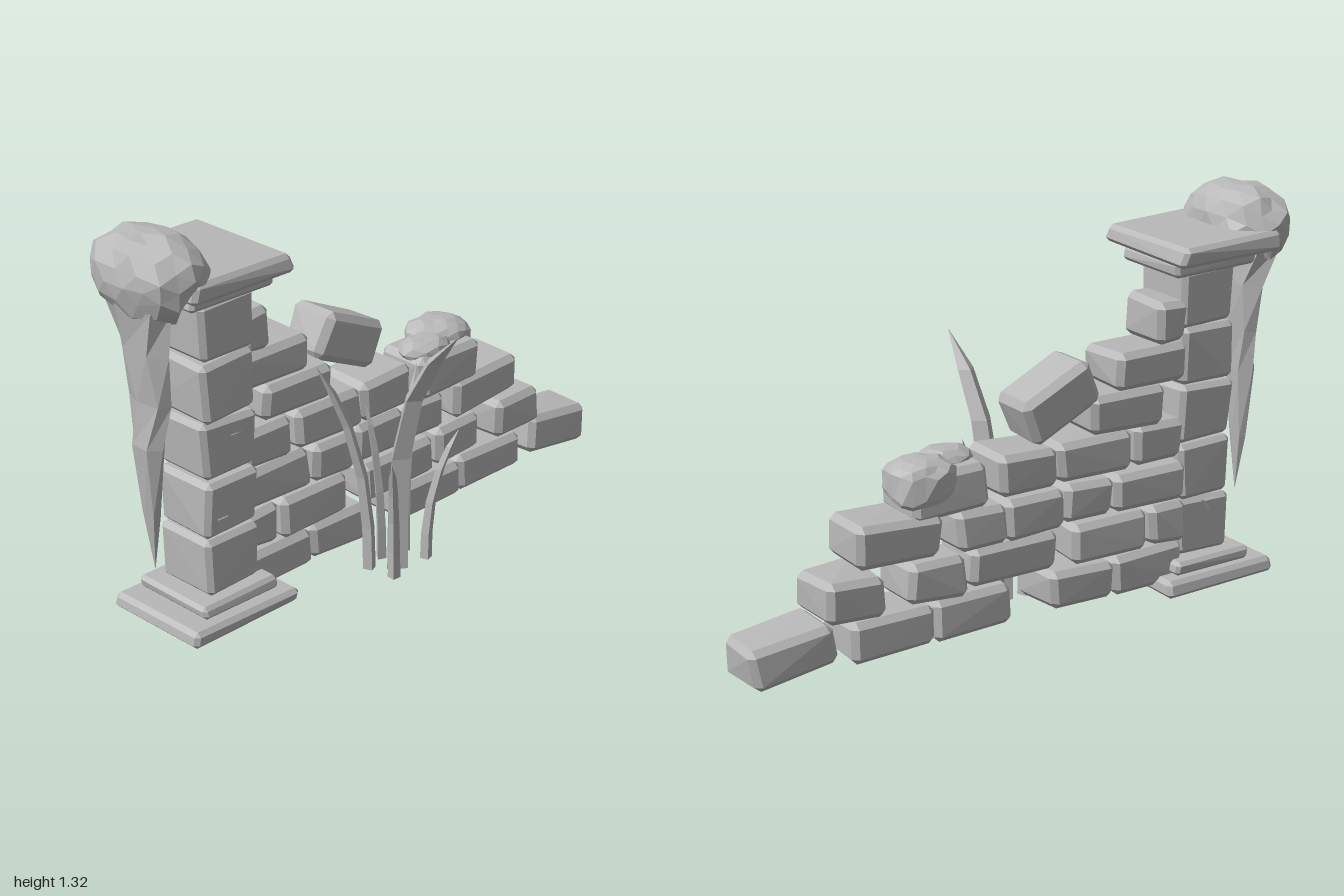
import * as THREE from 'three';
import { ConvexGeometry } from 'three/addons/geometries/ConvexGeometry.js';

const stone = new THREE.MeshStandardMaterial({ color: 0xb8b8b8 });
stone.name = 'grey stone';
stone.flatShading = true;

// Seeded random in -1..1
let seed = 7;
const rnd = () => {
  seed = (seed * 16807) % 2147483647;
  return (seed / 2147483647) * 2 - 1;
};

function add(parent, geometry, name) {
  const mesh = new THREE.Mesh(geometry, stone);
  mesh.name = name;
  parent.add(mesh);
  return mesh;
}

// Worn block with chamfered edges, given by its limits on each axis
function block(parent, name, [x0, x1], [y0, y1], [z0, z1], chamfer = 0.02, wear = 0.006, tilt = 0) {
  const h = [(x1 - x0) / 2, (y1 - y0) / 2, (z1 - z0) / 2];
  const pts = [];
  for (const sx of [-1, 1]) for (const sy of [-1, 1]) for (const sz of [-1, 1]) {
    const s = [sx, sy, sz];
    const j = [rnd() * wear, rnd() * wear, rnd() * wear];
    for (let axis = 0; axis < 3; axis++) {
      pts.push(new THREE.Vector3(...h.map((v, i) => s[i] * (i === axis ? v : v - chamfer) + j[i])));
    }
  }
  const mesh = add(parent, new ConvexGeometry(pts), name);
  mesh.position.set((x0 + x1) / 2, (y0 + y1) / 2, (z0 + z1) / 2);
  mesh.rotation.z = tilt;
  return mesh;
}

// Skin over rings that run counter-clockwise around the direction of travel
function loft(rings) {
  const out = [];
  const n = rings[0].length;
  const last = rings[rings.length - 1];
  const tri = (...ps) => ps.forEach((p) => out.push(...p));
  for (let i = 0; i < rings.length - 1; i++) {
    for (let k = 0; k < n; k++) {
      const m = (k + 1) % n;
      const a = rings[i][k], b = rings[i][m], c = rings[i + 1][m], d = rings[i + 1][k];
      tri(a, b, c);
      if (i < rings.length - 2) tri(a, c, d);
    }
  }
  for (let k = 1; k < n - 1; k++) {
    tri(rings[0][0], rings[0][k + 1], rings[0][k]);
    tri(last[0], last[k], last[k + 1]);
  }
  const g = new THREE.BufferGeometry();
  g.setAttribute('position', new THREE.Float32BufferAttribute(out, 3));
  g.computeVertexNormals();
  return g;
}

// Lumpy faceted ball; shape(v) may bend each placed vertex further
function lump(parent, name, centre, radius, detail, shape) {
  const g = new THREE.IcosahedronGeometry(1, detail);
  const p = g.attributes.position;
  const v = new THREE.Vector3();
  for (let i = 0; i < p.count; i++) {
    v.fromBufferAttribute(p, i);
    const bump = 1 + 0.06 * Math.sin(v.x * 5 + v.y * 7 + 1) * Math.cos(v.z * 6 - v.y * 3);
    const box = 1 / Math.pow(Math.abs(v.x) ** 3 + Math.abs(v.y) ** 3 + Math.abs(v.z) ** 3, 1 / 3);
    v.multiplyScalar(bump * (0.6 + 0.4 * box));
    v.set(centre[0] + v.x * radius[0], centre[1] + v.y * radius[1], centre[2] + v.z * radius[2]);
    if (shape) shape(v);
    p.setXYZ(i, v.x, v.y, v.z);
  }
  g.computeVertexNormals();
  return add(parent, g, name);
}

// Upright blade with a diamond section, curling outward to its tip
function blade(parent, base, tip, width, depth, curl) {
  const dx = tip[0] - base[0], dz = tip[2] - base[2];
  const len = Math.hypot(dx, dz);
  const ox = dx / len, oz = dz / len;
  const steps = [[0, 1], [0.2, 0.95], [0.45, 0.85], [0.7, 0.75], [0.87, 0.6], [1, 0]];
  const rings = steps.map(([f, s]) => {
    const r = len * Math.pow(f, curl);
    const c = [base[0] + ox * r, base[1] + (tip[1] - base[1]) * f, base[2] + oz * r];
    return [[depth, 0], [0, width], [-depth, 0], [0, -width]].map(([o, w]) =>
      [c[0] + (ox * o + oz * w) * s, c[1], c[2] + (oz * o - ox * w) * s]);
  });
  add(parent, loft(rings), 'grassBlade');
}

export function createModel() {
  const model = new THREE.Group();
  model.name = 'ruinedWall';
  const group = (name) => {
    const g = new THREE.Group();
    g.name = name;
    model.add(g);
    return g;
  };

  // Pillar: stepped base, five blocks, stepped cap
  const pillar = group('pillar');
  block(pillar, 'baseSlab', [-0.9, -0.48], [0.035, 0.09], [-0.3, 0.08], 0.014);
  block(pillar, 'baseStep', [-0.83, -0.53], [0.09, 0.137], [-0.27, 0.04], 0.012, 0.004);
  for (let i = 0; i < 5; i++) {
    const y = 0.137 + i * 0.191;
    block(pillar, 'pillarBlock', [-0.778, -0.57], [y, y + 0.189], [-0.22, 0.005], 0.016);
  }
  block(pillar, 'capStep', [-0.83, -0.51], [1.085, 1.135], [-0.26, 0.03], 0.012, 0.004);
  block(pillar, 'capSlab', [-0.87, -0.485], [1.135, 1.2], [-0.325, 0.09], 0.014);

  // Chips on the pillar faces
  for (const [x, y, z, turn] of [[-0.66, 0.64, 0.004, 0], [-0.72, 0.38, 0.004, 0], [-0.69, 0.3, -0.221, Math.PI]]) {
    const chip = add(pillar, new THREE.CylinderGeometry(0.02, 0.034, 0.008, 3), 'chip');
    chip.position.set(x, y, z);
    chip.rotation.set(Math.PI / 2, turn, 0);
    if (turn) chip.rotation.x = -Math.PI / 2;
  }

  // Brick courses: height limits, then the x limits of each brick
  const wall = group('wall');
  const courses = [
    [0.06, 0.188, [[-0.59, -0.315], [-0.305, -0.07], [0.075, 0.36], [0.36, 0.66]]],
    [0.197, 0.328, [[-0.59, -0.45], [-0.445, -0.165], [-0.1, 0.225], [0.25, 0.455], [0.54, 0.745]]],
    [0.335, 0.465, [[-0.59, -0.315], [-0.31, -0.13], [-0.12, 0.1], [0.1, 0.28]]],
    [0.475, 0.607, [[-0.59, -0.395], [-0.38, -0.1], [-0.09, 0.12]]],
    [0.61, 0.735, [[-0.5, -0.22]]],
    [0.735, 0.86, [[-0.59, -0.32]]],
    [0.865, 1.0, [[-0.59, -0.478]]],
  ];
  for (const [y0, y1, spans] of courses) {
    for (const span of spans) {
      const s = rnd() * 0.01;
      block(wall, 'brick', span, [y0, y1], [-0.225 + s, -0.025 + s]);
    }
  }
  block(wall, 'brick', [0.165, 0.44], [0.462, 0.605], [-0.22, -0.02], 0.02, 0.006, 0.01);
  block(wall, 'brick', [0.335, 0.63], [0.345, 0.478], [-0.23, -0.03], 0.02, 0.006, 0.05);
  block(wall, 'fallenBrick', [0.708, 0.992], [0.06, 0.193], [-0.22, -0.03], 0.02, 0.005, -0.14);
  block(wall, 'looseBrick', [-0.238, 0.034], [0.67, 0.825], [-0.23, -0.06], 0.022, 0.006, -0.44);

  // Moss draped over the cap, with a long hanging strand
  const moss = group('moss');
  lump(moss, 'mossCap', [-0.866, 1.19, -0.11], [0.132, 0.133, 0.2], 2, (v) => {
    if (v.x > -0.868) v.y = Math.max(v.y, 1.185);
  });
  const strand = [
    // y, x centre, x radius, z centre, z radius
    [0.26, -0.915, 0, -0.08, 0],
    [0.45, -0.92, 0.021, -0.08, 0.035],
    [0.68, -0.925, 0.04, -0.075, 0.065],
    [0.82, -0.915, 0.036, -0.07, 0.085],
    [0.98, -0.918, 0.046, -0.08, 0.105],
    [1.12, -0.925, 0.055, -0.1, 0.14],
  ].map(([y, x, rx, z, rz], i) => Array.from({ length: 6 }, (_, k) => {
    const a = (k / 6) * Math.PI * 2 + (i % 2) * 0.3;
    return [x + Math.sin(a) * rx, y, z + Math.cos(a) * rz];
  }));
  // the pointed tip comes last, so the strand is skinned downward
  add(moss, loft(strand.reverse().map((r) => r.reverse())), 'mossStrand');

  // Moss clump on the broken end, sagging over the back
  lump(moss, 'mossClump', [0.38, 0.595, -0.165], [0.108, 0.058, 0.1], 2, (v) => {
    const sag = Math.max(0, v.x - 0.4) * 0.45 + Math.max(0, -0.16 - v.z) * 0.4;
    if (v.y < 0.6) v.y -= sag;
  });
  lump(moss, 'mossClumpSmall', [0.25, 0.605, -0.1], [0.09, 0.04, 0.07], 1);

  // Grass tuft: base, tip, half width, half depth, curl
  const grass = group('grass');
  blade(grass, [-0.05, 0.0, 0.078], [-0.04, 0.865, 0.325], 0.05, 0.045, 3.6);
  blade(grass, [-0.15, 0.015, 0.05], [-0.31, 0.745, -0.015], 0.024, 0.022, 2.5);
  blade(grass, [0.005, 0.02, 0.05], [0.13, 0.615, -0.015], 0.022, 0.02, 2.5);
  blade(grass, [-0.145, 0.02, 0.155], [-0.235, 0.47, 0.235], 0.02, 0.02, 2.5);
  blade(grass, [0.005, 0.03, 0.15], [0.1, 0.47, 0.2], 0.02, 0.02, 2.5);
  blade(grass, [-0.08, 0.02, 0.035], [-0.095, 0.55, -0.02], 0.022, 0.018, 2.5);
  return model;
}
